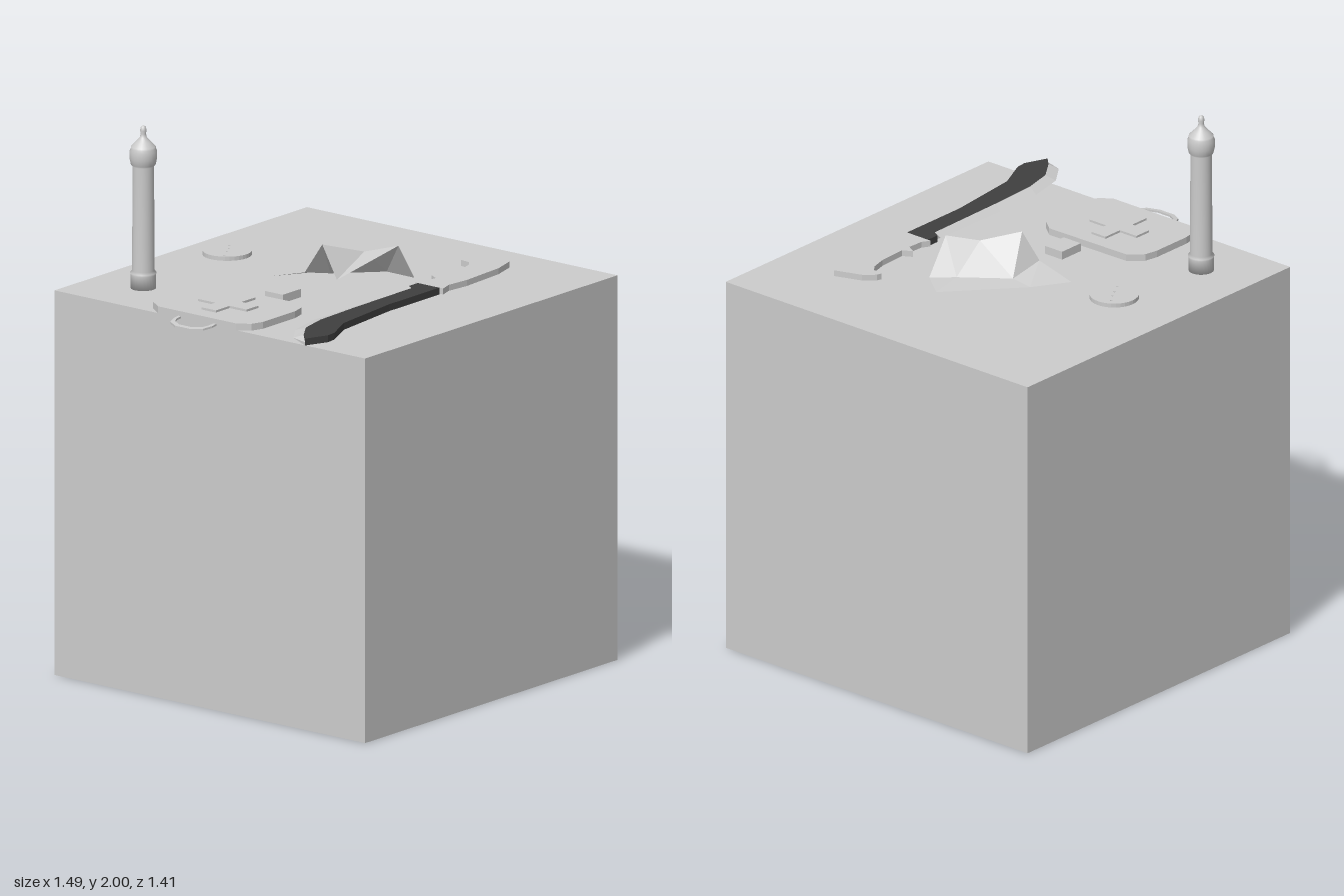
import * as THREE from 'three';

const TOP = 1.405; // height of the block's top face

export function createModel() {
  const root = new THREE.Group();
  const grey = new THREE.MeshStandardMaterial({ color: 0xcccccc, flatShading: true, side: THREE.DoubleSide });
  const smooth = new THREE.MeshStandardMaterial({ color: 0xcccccc });
  const dark = new THREE.MeshStandardMaterial({ color: 0x3f3f3f, flatShading: true, side: THREE.DoubleSide });

  const add = (name, geometry, material = grey, parent = root) => {
    const mesh = new THREE.Mesh(geometry, material);
    mesh.name = name;
    parent.add(mesh);
    return mesh;
  };
  const group = (name) => {
    const g = new THREE.Group();
    g.name = name;
    root.add(g);
    return g;
  };
  const outline = (points) => new THREE.Shape(points.map(([x, z]) => new THREE.Vector2(x, -z)));
  // Upright slab from a plan shape, between heights y0 and y1
  const slab = (shape, y0, y1) => {
    const g = new THREE.ExtrudeGeometry(shape, { depth: y1 - y0, bevelEnabled: false, curveSegments: 16 });
    return g.rotateX(-Math.PI / 2).translate(0, y0, 0);
  };
  const facets = (vertices, faces) => {
    const g = new THREE.BufferGeometry();
    g.setAttribute('position', new THREE.Float32BufferAttribute(vertices.flat(), 3));
    g.setIndex(faces.flat());
    const flat = g.toNonIndexed();
    flat.computeVertexNormals();
    return flat;
  };

  // Block that carries everything
  add('block', new THREE.BoxGeometry(1.405, TOP, 1.41).translate(0.038, TOP / 2, 0));

  // Turned column with foot ring, collar, cap and finial
  const profile = [[0, 1.405], [0.045, 1.405], [0.045, 1.455], [0.047, 1.462], [0.04, 1.47], [0.038, 1.85],
    [0.044, 1.857], [0.049, 1.88], [0.049, 1.905], [0.044, 1.915], [0.044, 1.922], [0.028, 1.938],
    [0.013, 1.955], [0.009, 1.968], [0.012, 1.98], [0.009, 1.993], [0, 2]];
  add('column', new THREE.LatheGeometry(profile.map(([r, y]) => new THREE.Vector2(r, y)), 24), smooth)
    .position.set(-0.44, 0, -0.485);

  // Disc with a row of pin holes
  const discShape = new THREE.Shape().absarc(0, 0, 0.087, 0, Math.PI * 2);
  for (const [x, y] of [[-0.058, -0.035], [-0.014, -0.01], [0.018, 0.007], [0.05, 0.03]]) {
    discShape.holes.push(new THREE.Path().absarc(x, y, 0.004, 0, Math.PI * 2, true));
  }
  add('disc', slab(discShape, 1.436, 1.451)).position.set(0, 0, -0.463);

  // Case with a raised cross and a carrying handle
  const kit = group('case');
  const caseOutline = [[-0.665, -0.235], [-0.63, -0.285], [-0.58, -0.295], [-0.42, -0.295], [-0.37, -0.285],
    [-0.325, -0.235], [-0.32, 0.12], [-0.355, 0.165], [-0.41, 0.18], [-0.59, 0.18], [-0.635, 0.165], [-0.665, 0.12]];
  add('caseBody', slab(outline(caseOutline), TOP, 1.43), grey, kit);
  const a = 0.11, b = 0.033;
  const crossOutline = [[-a, -b], [-b, -b], [-b, -a], [b, -a], [b, -b], [a, -b],
    [a, b], [b, b], [b, a], [-b, a], [-b, b], [-a, b]];
  add('cross', slab(outline(crossOutline), 1.43, 1.438), grey, kit).position.set(-0.49, 0, -0.058);
  const handleOutline = [[-0.66, -0.143], [-0.69, -0.143], [-0.725, -0.13], [-0.747, -0.09], [-0.747, -0.025],
    [-0.725, 0.018], [-0.69, 0.03], [-0.66, 0.03], [-0.66, 0.017], [-0.69, 0.015], [-0.712, 0.005],
    [-0.73, -0.03], [-0.73, -0.085], [-0.712, -0.118], [-0.69, -0.13], [-0.66, -0.13]];
  const handleGeometry = slab(outline(handleOutline), 1.406, 1.413);
  const hp = handleGeometry.attributes.position;
  for (let i = 0; i < hp.count; i++) hp.setY(i, hp.getY(i) + (hp.getX(i) + 0.66) * 0.12);
  add('caseHandle', handleGeometry, grey, kit);

  // Small box
  add('smallBox', new THREE.BoxGeometry(0.1, 0.03, 0.08).translate(-0.235, TOP + 0.015, -0.018));

  // Large knife: dark blade body, ground cutting edge, shaped grip
  const knife = group('knife');
  const inner = [[-0.735, 0.49], [-0.7, 0.455], [-0.62, 0.4], [-0.51, 0.375], [-0.32, 0.367], [0.015, 0.362], [0.03, 0.337]];
  const outer = [[-0.735, 0.49], [-0.715, 0.42], [-0.63, 0.36], [-0.49, 0.33], [-0.3, 0.331], [0.015, 0.335], [0.03, 0.336]];
  const bladeOutline = [...inner, [0.08, 0.337], [0.08, 0.435], [-0.2, 0.435], [-0.49, 0.466], [-0.61, 0.521], [-0.65, 0.525]];
  add('blade', slab(outline(bladeOutline), 1.43, 1.455), dark, knife);
  const edgeVertices = [], edgeFaces = [];
  inner.forEach(([x, z], i) => {
    const [ox, oz] = outer[i];
    edgeVertices.push([x, 1.455, z], [ox, 1.442, oz], [x, 1.43, z]);
    if (i === 0) return;
    const p = 3 * (i - 1), q = 3 * i;
    for (const k of [0, 1]) edgeFaces.push([p + k, q + k, p + k + 1], [q + k, q + k + 1, p + k + 1]);
  });
  add('cuttingEdge', facets(edgeVertices, edgeFaces), grey, knife);
  const gripOutline = [[0.08, 0.325], [0.11, 0.342], [0.17, 0.345], [0.19, 0.31], [0.21, 0.345], [0.32, 0.34],
    [0.38, 0.325], [0.405, 0.305], [0.41, 0.265], [0.43, 0.27], [0.465, 0.31], [0.5, 0.41],
    [0.41, 0.435], [0.22, 0.446], [0.13, 0.437], [0.08, 0.452]];
  add('grip', slab(outline(gripOutline), 1.433, 1.455), grey, knife);

  // Flat sheet with one torn, turned-up edge
  const sheet = [[-0.05, 1.41, -0.22], [0.22, 1.41, -0.275], [0.485, 1.41, -0.26], [0.5, 1.41, -0.14],
    [0.47, 1.41, 0.11], [0.4, 1.41, 0.22], [0.25, 1.41, 0.183], [0.165, 1.545, 0.18],
    [0.085, 1.525, 0.09], [0, 1.43, 0.035], [-0.02, 1.555, -0.015], [-0.05, 1.45, -0.07],
    [0.08, 1.41, -0.14], [0.08, 1.42, -0.06], [0.21, 1.425, 0.09], [0.33, 1.41, 0.08]];
  const sheetFaces = [[0, 11, 12], [0, 12, 1], [11, 13, 12], [11, 10, 13], [10, 8, 13], [10, 9, 8], [9, 7, 8],
    [8, 14, 13], [8, 7, 14], [7, 6, 14], [6, 15, 14], [6, 5, 15], [5, 4, 15], [4, 3, 15], [3, 2, 15],
    [2, 1, 15], [1, 12, 15], [12, 13, 15], [13, 14, 15]];
  add('tornSheet', facets(sheet, sheetFaces));

  return root;
}
